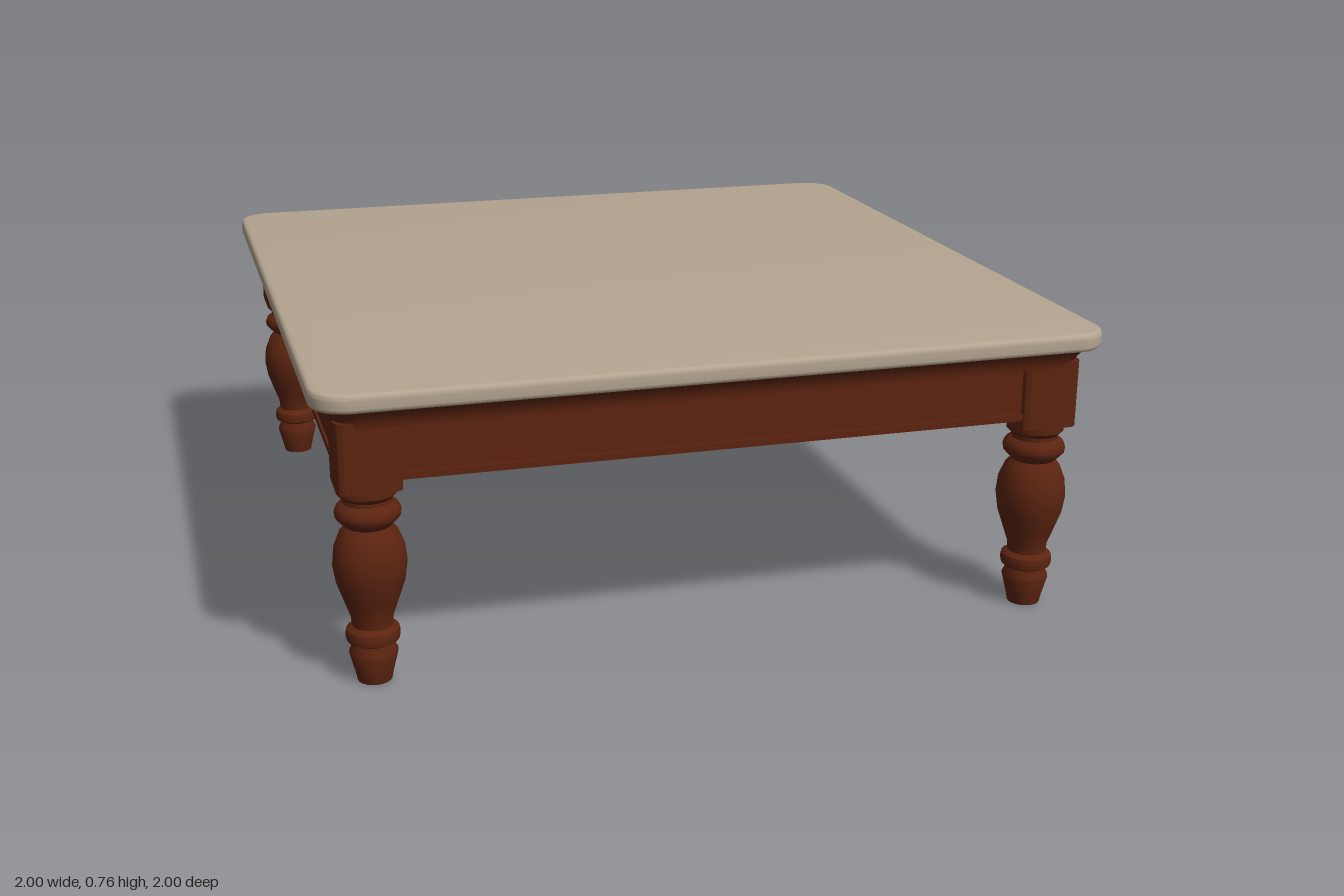
import * as THREE from 'three';
import { toCreasedNormals } from 'three/addons/utils/BufferGeometryUtils.js';

const wood = new THREE.MeshStandardMaterial({ color: 0x5c2410 });
wood.name = 'dark brown wood';
const stone = new THREE.MeshStandardMaterial({ color: 0xb5a591 });
stone.name = 'beige top';

// Square with rounded corners, half-width h and corner radius r
function roundedSquare(h, r) {
  const s = new THREE.Shape();
  s.absarc(h - r, h - r, r, 0, Math.PI / 2);
  s.absarc(r - h, h - r, r, Math.PI / 2, Math.PI);
  s.absarc(r - h, r - h, r, Math.PI, Math.PI * 1.5);
  s.absarc(h - r, r - h, r, Math.PI * 1.5, Math.PI * 2);
  s.closePath();
  return s;
}

// Upright slab from y0 to y1; its outline reaches half-width h
function slab(h, r, y0, y1, bevel = 0) {
  const g = new THREE.ExtrudeGeometry(roundedSquare(h - bevel, r - bevel), {
    depth: y1 - y0 - 2 * bevel, curveSegments: 6, steps: 4,
    bevelEnabled: bevel > 0, bevelSize: bevel, bevelThickness: bevel, bevelSegments: 3,
  });
  g.rotateX(-Math.PI / 2);
  g.translate(0, y0 + bevel, 0);
  return g;
}

function add(parent, name, geometry, material) {
  const mesh = new THREE.Mesh(geometry, material);
  mesh.name = name;
  parent.add(mesh);
  return mesh;
}

export function createModel() {
  const table = new THREE.Group();
  table.name = 'coffeeTable';

  // Table top with softened edges
  add(table, 'tableTop', toCreasedNormals(slab(1, 0.09, 0.718, 0.765, 0.012), 0.7), stone);

  // Flared moulding under the top
  const moulding = slab(0.945, 0.06, 0.665, 0.72);
  const p = moulding.attributes.position;
  for (let i = 0; i < p.count; i++) {
    const t = (p.getY(i) - 0.665) / 0.055;
    const k = 1 + 0.032 * t * t;
    p.setX(i, p.getX(i) * k);
    p.setZ(i, p.getZ(i) * k);
  }
  add(table, 'moulding', toCreasedNormals(moulding, 0.6), wood);

  // Closed apron with a narrow bead along its lower edge
  const apron = new THREE.BoxGeometry(1.86, 0.15, 1.86);
  apron.translate(0, 0.605, 0);
  add(table, 'apron', apron, wood);
  const bead = new THREE.BoxGeometry(1.872, 0.018, 1.872);
  bead.translate(0, 0.539, 0);
  add(table, 'apronBead', bead, wood);

  // Corner posts and turned legs
  const profile = [
    [0, 0], [0.042, 0], [0.046, 0.02], [0.06, 0.075], [0.052, 0.092],
    [0.05, 0.1], [0.064, 0.108], [0.067, 0.122], [0.064, 0.136], [0.05, 0.146],
    [0.052, 0.17], [0.066, 0.21], [0.083, 0.26], [0.09, 0.305], [0.086, 0.345],
    [0.07, 0.385], [0.056, 0.402], [0.066, 0.412], [0.078, 0.425], [0.08, 0.438],
    [0.074, 0.452], [0.06, 0.462], [0.06, 0.472], [0.073, 0.485], [0.074, 0.51], [0, 0.51],
  ].map(([x, y]) => new THREE.Vector2(x, y));
  const legGeometry = toCreasedNormals(new THREE.LatheGeometry(profile, 20).toNonIndexed(), 0.7);
  const postGeometry = toCreasedNormals(slab(0.078, 0.022, 0.505, 0.68), 0.6);
  for (const sx of [1, -1]) {
    for (const sz of [1, -1]) {
      const leg = new THREE.Group();
      leg.name = `${sz > 0 ? 'front' : 'back'}${sx > 0 ? 'Left' : 'Right'}Leg`;
      leg.position.set(0.867 * sx, 0, 0.867 * sz);
      add(leg, 'turnedLeg', legGeometry, wood);
      add(leg, 'cornerPost', postGeometry, wood);
      table.add(leg);
    }
  }
  return table;
}
